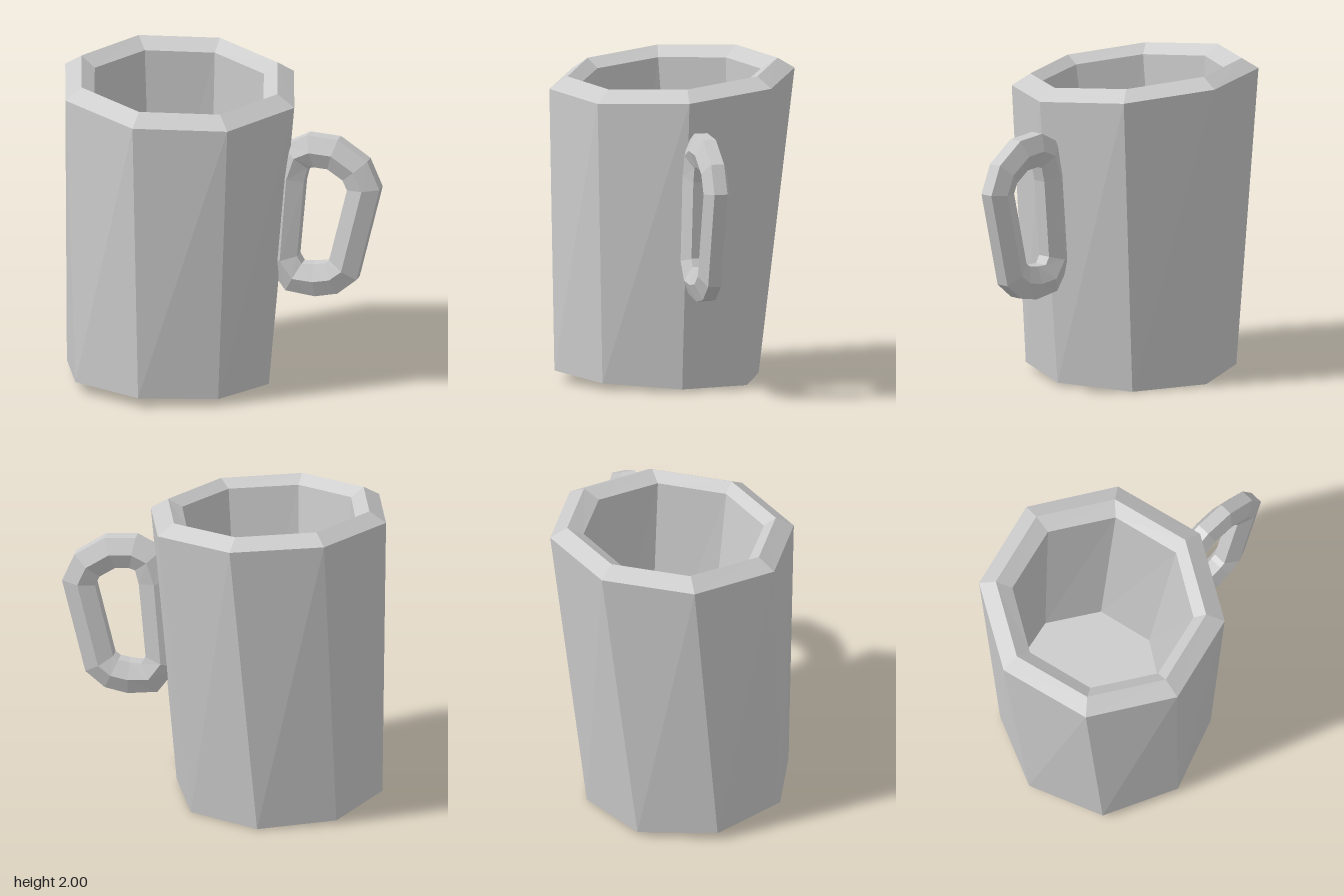
import * as THREE from 'three';

const material = new THREE.MeshStandardMaterial({ color: 0xcccccc, flatShading: true });

// Skins a list of equally sized rings of Vector3 points with flat faces
function loft(name, rings, closed = false) {
  const pos = [];
  const n = rings[0].length;
  const tri = (...pts) => pts.forEach((p) => pos.push(p.x, p.y, p.z));
  const spans = closed ? rings.length : rings.length - 1;
  for (let i = 0; i < spans; i++) {
    const lo = rings[i], hi = rings[(i + 1) % rings.length];
    for (let k = 0; k < n; k++) {
      const j = (k + 1) % n;
      if (lo[k].distanceTo(lo[j]) > 1e-6) tri(lo[k], hi[k], lo[j]);
      if (hi[k].distanceTo(hi[j]) > 1e-6) tri(lo[j], hi[k], hi[j]);
    }
  }
  const geo = new THREE.BufferGeometry();
  geo.setAttribute('position', new THREE.Float32BufferAttribute(pos, 3));
  geo.computeVertexNormals();
  const mesh = new THREE.Mesh(geo, material);
  mesh.name = name;
  return mesh;
}

// Octagon around (cx, cz), lying in the tilted plane y = h + sx * x + sz * z
function octagon(cx, cz, r, phase, h, sx = 0, sz = 0) {
  return Array.from({ length: 8 }, (_, k) => {
    const a = THREE.MathUtils.degToRad(phase + k * 45);
    const x = cx + r * Math.cos(a), z = cz + r * Math.sin(a);
    return new THREE.Vector3(x, h + sx * x + sz * z, z);
  });
}

// Hexagonal tube around a closed path in a slanted upright plane
function handleRings() {
  const path = [
    [0.54, 1.545], [0.66, 1.535], [0.78, 1.44], [0.825, 1.32], [0.715, 0.79], [0.65, 0.73],
    [0.56, 0.71], [0.45, 0.72], [0.385, 0.83], [0.42, 1.36], [0.46, 1.5],
  ].map(([x, y]) => new THREE.Vector3(x, y, -0.083 - 0.64 * x));
  const side = new THREE.Vector3(-0.54, 0, -0.842).normalize();
  const n = path.length;
  return path.map((p, i) => {
    const before = p.clone().sub(path[(i + n - 1) % n]).normalize();
    const after = path[(i + 1) % n].clone().sub(p).normalize();
    const out = before.add(after).normalize().cross(side);
    return Array.from({ length: 6 }, (_, k) => {
      const a = Math.PI / 6 + (k * Math.PI) / 3;
      return p.clone()
        .addScaledVector(out, 0.12 * Math.cos(a))
        .addScaledVector(side, 0.083 * Math.sin(a));
    });
  });
}

export function createModel() {
  const group = new THREE.Group();
  group.name = 'mug';

  // Crooked eight-sided body: base, outer wall, bevelled rim, hollow, floor
  group.add(loft('body', [
    octagon(-0.21, 0.09, 0, 14, 0.03, 0, 0.055),
    octagon(-0.21, 0.09, 0.65, 14, 0.03, 0, 0.055),
    octagon(-0.21, -0.01, 0.765, 20, 1.852, -0.086, -0.033),
    octagon(-0.215, -0.012, 0.655, 20, 1.92, -0.09, -0.033),
    octagon(-0.205, 0, 0.565, 20.5, 1.865, -0.086, -0.033),
    octagon(-0.285, -0.065, 0.46, 22.5, 0.35),
    octagon(-0.285, -0.065, 0, 22.5, 0.35),
  ]));

  // Looped handle on the back left edge
  group.add(loft('handle', handleRings(), true));

  return group;
}
